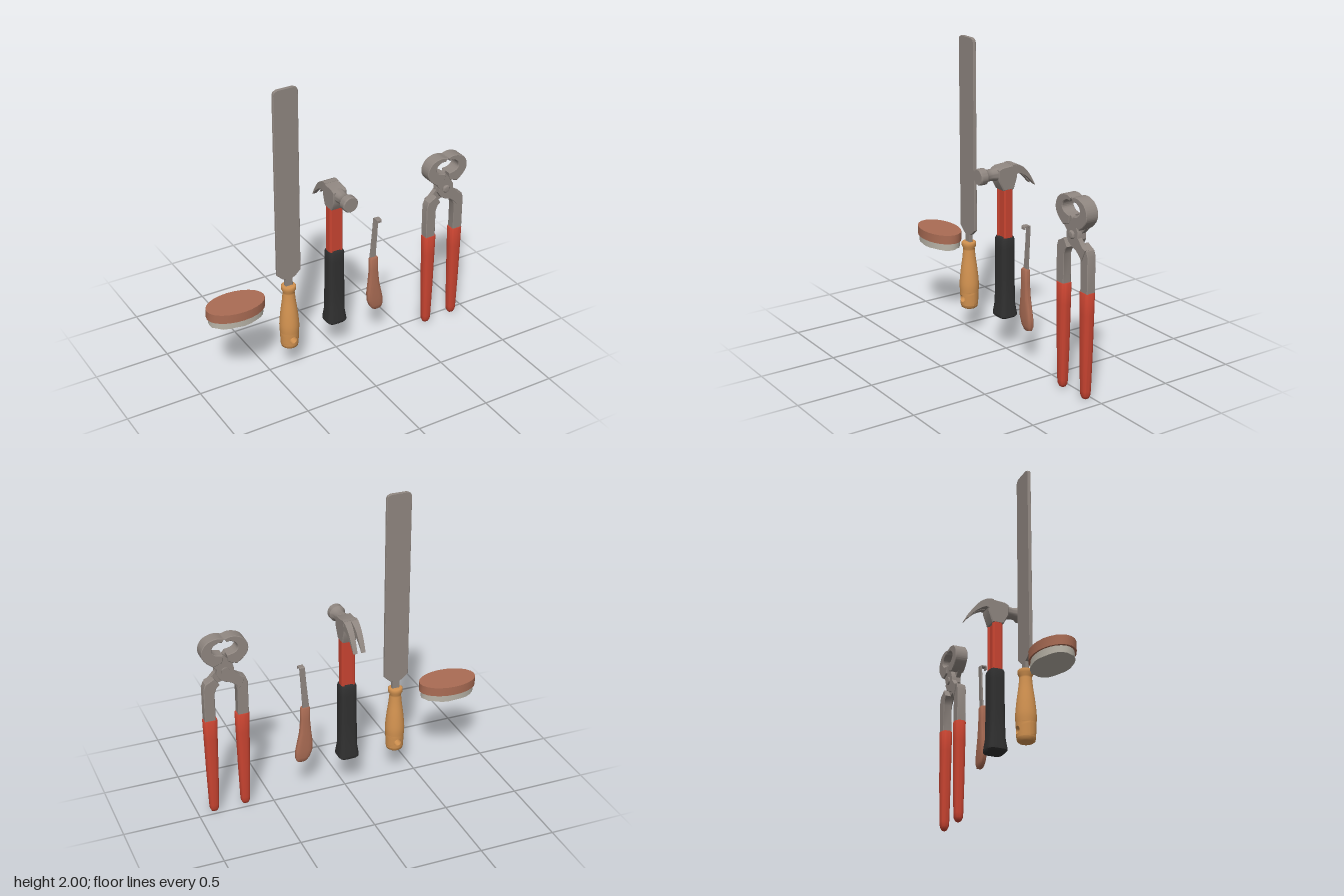
import * as THREE from 'three';
import { toCreasedNormals } from 'three/addons/utils/BufferGeometryUtils.js';

const mat = (name, color, side = THREE.FrontSide) => {
  const m = new THREE.MeshStandardMaterial({ color, side });
  m.name = name;
  return m;
};
const V2 = ([x, y]) => new THREE.Vector2(x, y);
const crease = (g, a = 0.6) => toCreasedNormals(g, a);

function part(parent, name, geo, material, x = 0, y = 0, z = 0) {
  const m = new THREE.Mesh(geo, material);
  m.name = name;
  m.position.set(x, y, z);
  parent.add(m);
  return m;
}

function group(parent, name, x = 0, z = 0) {
  const g = new THREE.Group();
  g.name = name;
  g.position.set(x, 0, z);
  parent.add(g);
  return g;
}

// Capped loft of superellipse sections [y, halfX, halfZ, centreX, centreZ]
function loft(sections, power = 1, n = 32) {
  const pos = [], idx = [];
  const bend = (v) => Math.sign(v) * Math.pow(Math.abs(v), power);
  for (const [y, hx, hz, cx = 0, cz = 0] of sections)
    for (let j = 0; j < n; j++) {
      const a = (j / n) * Math.PI * 2;
      pos.push(cx + hx * bend(Math.cos(a)), y, cz + hz * bend(Math.sin(a)));
    }
  const last = (sections.length - 1) * n, c0 = sections.length * n;
  for (const s of [sections[0], sections[sections.length - 1]]) pos.push(s[3] || 0, s[0], s[4] || 0);
  for (let j = 0; j < n; j++) {
    const k = (j + 1) % n;
    for (let i = 0; i < last; i += n) idx.push(i + j, i + n + j, i + k, i + k, i + n + j, i + n + k);
    idx.push(c0, j, k, c0 + 1, last + k, last + j);
  }
  const g = new THREE.BufferGeometry();
  g.setAttribute('position', new THREE.Float32BufferAttribute(pos, 3));
  g.setIndex(idx);
  return crease(g, 0.7);
}

// Plate cut from an xy outline between two depths, with a fine bevel
function plate(shape, z0, z1, bevel = 0.004) {
  const s = Array.isArray(shape) ? new THREE.Shape(shape.map(V2)) : shape;
  const g = new THREE.ExtrudeGeometry(s, {
    depth: z1 - z0 - 2 * bevel, curveSegments: 14, bevelEnabled: bevel > 0,
    bevelSize: bevel, bevelOffset: -bevel, bevelThickness: bevel, bevelSegments: 1,
  });
  g.translate(0, 0, z0 + bevel);
  return crease(g, 0.5);
}

// Curved wall band of a turned handle, front and back, each pierced by a round hole
function piercedBand(y0, h, radius, hole, n = 40, rings = 6) {
  const pos = [], idx = [];
  for (const turn of [0, Math.PI]) {
    const base = pos.length / 3;
    for (let s = 0; s <= rings; s++)
      for (let j = 0; j <= n; j++) {
        const a = (j / n) * Math.PI * 2, c = Math.cos(a), d = Math.sin(a), t = s / rings;
        const m = 1 / Math.max(Math.abs(c), Math.abs(d));
        const dy = THREE.MathUtils.lerp(hole * d, h * d * m, t), r = radius(y0 + dy);
        const u = turn + THREE.MathUtils.lerp(Math.asin((hole * c) / r), (Math.PI / 2) * c * m, t);
        pos.push(r * Math.sin(u), y0 + dy, r * Math.cos(u));
      }
    for (let s = 0; s < rings; s++)
      for (let j = 0; j < n; j++) {
        const a = base + s * (n + 1) + j, b = a + n + 1;
        idx.push(a, b, a + 1, a + 1, b, b + 1);
      }
  }
  const g = new THREE.BufferGeometry();
  g.setAttribute('position', new THREE.Float32BufferAttribute(pos, 3));
  g.setIndex(idx);
  g.computeVertexNormals();
  return g;
}

export function createModel() {
  const root = new THREE.Group();
  root.name = 'farrierTools';
  const steel = mat('steel', 0x8f8680), red = mat('redRubber', 0xc94431), black = mat('blackRubber', 0x303030);
  const wood = mat('lightWood', 0xd29250, THREE.DoubleSide), brown = mat('brownWood', 0xaa6c54);
  const bristle = mat('bristle', 0xb5b0a4);

  // Oval brush
  const brush = group(root, 'brush', -0.745, 0.035);
  const oval = (rt, rb, h) => new THREE.CylinderGeometry(rt, rb, h, 24, 1).scale(1, 1, 0.62);
  part(brush, 'brushBack', crease(oval(0.197, 0.197, 0.06)), brown, 0, 0.6);
  const tuft = oval(0.18, 0.184, 0.047), tp = tuft.attributes.position;
  for (let i = 0; i < tp.count; i++) // slightly ragged lower edge
    if (tp.getY(i) < 0) tp.setY(i, tp.getY(i) + 0.003 * Math.sin(tp.getX(i) * 90 + tp.getZ(i) * 50));
  part(brush, 'bristles', crease(tuft), bristle, 0, 0.547);

  // Rasp
  const rasp = group(root, 'rasp', -0.372, 0.04);
  const half = [[0.026, 0.62], [0.026, 0.69], [0.045, 0.7], [0.083, 0.735], [0.083, 1.975], [0.076, 1.99], [0.055, 2]];
  const other = half.map(([x, y]) => [-x, y]).reverse();
  part(rasp, 'raspBlade', plate([...half, ...other], -0.011, 0.011, 0.002), steel);
  const bandR = (y) => 0.058 + ((y - 0.205) / 0.09) * 0.004;
  const body = new THREE.SplineCurve([[0.062, 0.295], [0.064, 0.35], [0.056, 0.44], [0.044, 0.53], [0.038, 0.595]].map(V2)).getPoints(16);
  const collar = [[0.048, 0.615], [0.048, 0.636], [0.042, 0.641], [0, 0.641]].map(V2);
  part(rasp, 'raspHandle', new THREE.LatheGeometry([...body, ...collar], 40), wood);
  part(rasp, 'raspHandleEnd', new THREE.LatheGeometry([[0, 0.18], [0.044, 0.18], [0.054, 0.188], [0.058, 0.205]].map(V2), 40), wood);
  part(rasp, 'raspHandleHoleBand', piercedBand(0.25, 0.045, bandR, 0.025), wood);
  const bore = new THREE.CylinderGeometry(0.025, 0.025, 1, 40, 1, true).rotateX(Math.PI / 2);
  const bp = bore.attributes.position;
  for (let i = 0; i < bp.count; i++) // trim the bore to the handle surface
    bp.setZ(i, Math.sign(bp.getZ(i)) * Math.sqrt(bandR(0.25 + bp.getY(i)) ** 2 - bp.getX(i) ** 2));
  part(rasp, 'raspHangingHole', bore, wood, 0, 0.25);

  // Claw hammer
  const hammer = group(root, 'hammer', -0.014, 0);
  part(hammer, 'hammerGrip', loft([
    [0.23, 0.06, 0.056], [0.24, 0.069, 0.064], [0.255, 0.069, 0.064], [0.32, 0.06, 0.054], [0.5, 0.058, 0.05],
    [0.7, 0.057, 0.05], [0.755, 0.057, 0.05], [0.77, 0.052, 0.045],
  ], 0.5), black);
  const quarter = [[0.047, 0.022], [0.038, 0.034], [0.032, 0.034], [0.028, 0.022]];
  const top = [...quarter, ...quarter.map(([x, y]) => [-x, y]).reverse()];
  const beam = plate([...top, ...top.map(([x, y]) => [-x, -y])], 0.75, 1.1, 0).rotateX(-Math.PI / 2);
  part(hammer, 'hammerShaft', beam, red);
  const cheek = [[-0.075, 1.225], [-0.05, 1.238], [0.06, 1.246], [0.065, 1.165], [0.038, 1.085], [-0.038, 1.085], [-0.075, 1.155]];
  part(hammer, 'hammerCheek', plate(cheek, -0.048, 0.048, 0.006).rotateY(Math.PI / 2), steel);
  const poll = [[0.046, 0.05], [0.042, 0.085], [0.037, 0.11], [0.04, 0.14], [0.053, 0.158], [0.053, 0.197], [0.047, 0.205], [0, 0.205]];
  part(hammer, 'hammerPoll', crease(new THREE.LatheGeometry(poll.map(V2), 32).rotateX(Math.PI / 2)), steel, 0, 1.192);
  for (const s of [-1, 1]) {
    const prong = new THREE.Shape();
    prong.moveTo(0.03, 1.245);
    prong.splineThru([[0.07, 1.242], [0.12, 1.212], [0.165, 1.158], [0.205, 1.087]].map(V2));
    prong.lineTo(0.2, 1.088);
    prong.splineThru([[0.155, 1.138], [0.11, 1.172], [0.07, 1.185], [0.03, 1.155]].map(V2));
    const g = new THREE.ExtrudeGeometry(prong, { depth: 1, bevelEnabled: false, curveSegments: 16 });
    const p = g.attributes.position;
    for (let i = 0; i < p.count; i++) { // open the V between the prongs
      const back = p.getX(i), gap = Math.max(0, back - 0.07) * 0.08 + (back > 0.07 ? 0.002 : 0);
      const outer = 0.048 - Math.max(0, back - 0.06) * 0.05;
      p.setZ(i, s > 0 ? gap + p.getZ(i) * (outer - gap) : -outer + p.getZ(i) * (outer - gap));
    }
    part(hammer, s > 0 ? 'leftClaw' : 'rightClaw', crease(g.rotateY(Math.PI / 2)), steel);
  }

  // Hoof knife
  const knife = group(root, 'hoofKnife', 0, 0.033);
  part(knife, 'knifeHandle', loft([
    [0.235, 0.014, 0.01, 0.287], [0.243, 0.034, 0.016, 0.29], [0.27, 0.05, 0.021, 0.285], [0.32, 0.058, 0.023, 0.274],
    [0.38, 0.052, 0.023, 0.267], [0.45, 0.04, 0.022, 0.263], [0.55, 0.031, 0.02, 0.262], [0.63, 0.032, 0.02, 0.261],
    [0.64, 0.028, 0.016, 0.261],
  ], 0.65), brown);
  const blade = [[0.234, 0.62], [0.281, 0.62], [0.284, 0.7], [0.29, 0.8], [0.298, 0.928], [0.262, 0.928], [0.254, 0.82], [0.243, 0.7]];
  part(knife, 'knifeBlade', plate(blade, -0.012, -0.002, 0.001), steel);
  const hook = [[0.002, 0.932], [-0.028, 0.932], [-0.034, 0.925], [-0.034, 0.908], [-0.027, 0.908], [-0.025, 0.922], [0.012, 0.922], [0.012, 0.926]];
  part(knife, 'knifeHook', plate(hook, 0.262, 0.298, 0.001).rotateY(Math.PI / 2), steel, 0, 0, 0);

  // Pull-off pincers: each jaw crosses the pivot to the opposite handle
  const pincers = group(root, 'pincers', 0.785, 0.043);
  for (const s of [-1, 1]) {
    const side = s > 0 ? 'left' : 'right';
    const at = ([x, y]) => new THREE.Vector2(-s * x, y);
    const jaw = new THREE.Shape();
    jaw.moveTo(s * 0.075, 1.065);
    jaw.splineThru([[-0.115, 1.095], [-0.147, 1.14], [-0.147, 1.19], [-0.12, 1.232], [-0.08, 1.252], [-0.04, 1.257], [-0.004, 1.248]].map(([x, y]) => at([-x, y])).map((v) => new THREE.Vector2(-v.x, v.y)).map((v) => new THREE.Vector2(-v.x, v.y)));
    jaw.lineTo(s * 0.017, 1.222);
    jaw.splineThru([[0.042, 1.224], [0.075, 1.203], [0.083, 1.17], [0.058, 1.145], [0.012, 1.135]].map(([x, y]) => new THREE.Vector2(s * x, y)));
    jaw.lineTo(s * 0.02, 1.085);
    // mirror the outer sweep so that it follows the same side as the inner one
    const outer = jaw.curves[0].points;
    outer.forEach((p, i) => { if (i) p.x = s * Math.abs(p.x); });
    part(pincers, side + 'Jaw', plate(jaw, -0.043, 0.043), steel);
    // half-lapped joint
    const lap = [[0.09, 1.075], [0.012, 1.137], [-0.02, 1.1], [-0.055, 1.045], [-0.058, 1.01], [-0.1, 0.965], [-0.125, 0.955],
      [-0.09, 0.88], [-0.065, 0.91], [-0.035, 0.933], [0, 0.945], [0.035, 0.965], [0.056, 1.0], [0.052, 1.035]];
    const z = s > 0 ? -0.032 : 0;
    part(pincers, side + 'Lap', plate(lap.map(([x, y]) => [s * x, y]), z, z + 0.032, 0.002), steel);
    // arm and sleeve
    const arm = [[0.075, 0.66], [0.075, 0.875], [0.06, 0.912], [0.04, 0.93], [0.075, 0.982], [0.105, 0.965], [0.132, 0.95], [0.145, 0.915], [0.145, 0.66]];
    const dz = -s * 0.005;
    part(pincers, side + 'Arm', plate(arm.map(([x, y]) => [s * x, y]), -0.03 + dz, 0.03 + dz), steel);
    part(pincers, side + 'Sleeve', loft([
      [0.003, 0.008, 0.007], [0.01, 0.02, 0.018], [0.03, 0.029, 0.027], [0.06, 0.031, 0.03], [0.3, 0.038, 0.035],
      [0.55, 0.043, 0.038], [0.685, 0.046, 0.039], [0.69, 0.044, 0.037],
    ].map(([y, hx, hz]) => [y, hx, hz, s * 0.107, dz]), 0.75), red);
  }
  const rivet = [[0.027, -0.043], [0.027, 0.036], [0.02, 0.045], [0, 0.049]].map(V2);
  part(pincers, 'pivotRivet', crease(new THREE.LatheGeometry([new THREE.Vector2(0, -0.043), ...rivet], 24).rotateX(Math.PI / 2)), steel, 0, 1.02);
  return root;
}
